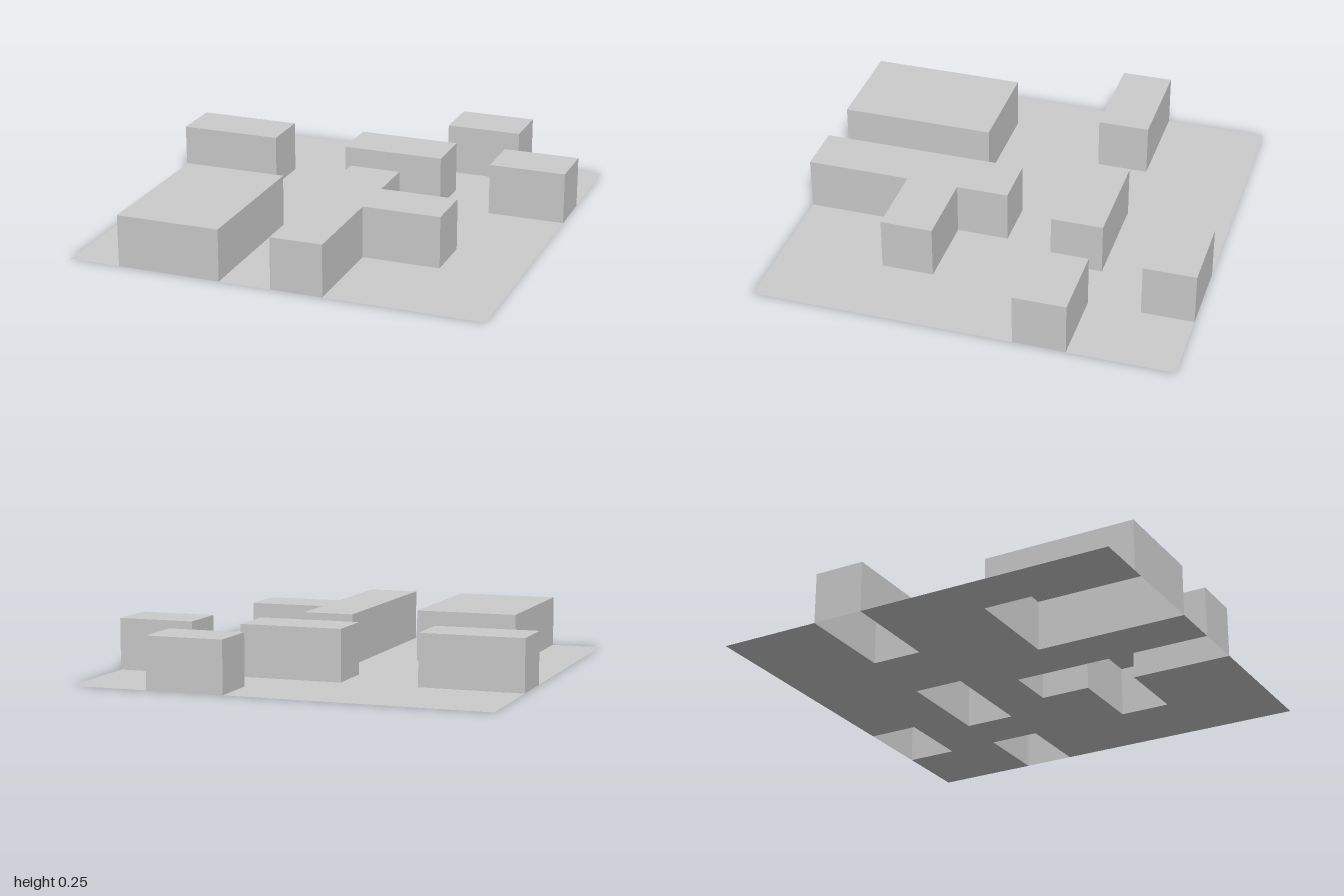
import * as THREE from 'three';
import { mergeGeometries } from 'three/addons/utils/BufferGeometryUtils.js';

const HEIGHT = 0.25;

// Footprints as [x, z], clockwise from above. Those on the border start and end on it.
const edgeBlocks = {
  wideFrontBlock: [[-0.75, 1], [-0.75, 0.25], [-0.25, 0.25], [-0.25, 1]],
  branchedFrontBlock: [[0, 1], [0, 0], [0.25, 0], [0.25, 0.25], [0.625, 0.25], [0.625, 0.5], [0.25, 0.5], [0.25, 1]],
  leftEdgeBlock: [[1, -0.25], [0.625, -0.25], [0.625, -0.5], [1, -0.5]],
  backEdgeBlock: [[0.625, -1], [0.625, -0.75], [0.25, -0.75], [0.25, -1]],
  rightEdgeBlock: [[-1, -0.5], [-0.5, -0.5], [-0.5, -0.25], [-1, -0.25]],
};
const middleBlock = [[-0.125, -0.25], [-0.125, -0.5], [0.375, -0.5], [0.375, -0.25]];

const toPoints = (plan) => plan.map(([x, z]) => new THREE.Vector2(x, -z));

// Flat horizontal sheet with optional holes
function sheet(plan, y, holes = []) {
  const shape = new THREE.Shape(toPoints(plan));
  shape.holes = holes.map((hole) => new THREE.Path(toPoints(hole)));
  return new THREE.ShapeGeometry(shape).rotateX(-Math.PI / 2).translate(0, y, 0);
}

// Hollow block, open underneath: a roof and one wall per footprint edge
function blockGeometry(plan) {
  const pieces = [sheet(plan, HEIGHT)];
  plan.forEach(([x, z], i) => {
    const [nx, nz] = plan[(i + 1) % plan.length];
    const dx = nx - x, dz = nz - z;
    pieces.push(new THREE.PlaneGeometry(Math.hypot(dx, dz), HEIGHT)
      .rotateY(Math.atan2(dz, -dx))
      .translate((x + nx) / 2, HEIGHT / 2, (z + nz) / 2));
  });
  return mergeGeometries(pieces);
}

export function createModel() {
  const group = new THREE.Group();
  const material = new THREE.MeshStandardMaterial({ color: 0xcccccc, side: THREE.DoubleSide });
  const add = (name, geometry) => {
    const mesh = new THREE.Mesh(geometry, material);
    mesh.name = name;
    group.add(mesh);
  };

  // Ground, cut away beneath every block
  const b = edgeBlocks;
  const outline = [
    [-1, 1], ...b.wideFrontBlock, ...b.branchedFrontBlock,
    [1, 1], ...b.leftEdgeBlock,
    [1, -1], ...b.backEdgeBlock,
    [-1, -1], ...b.rightEdgeBlock,
  ];
  add('ground', sheet(outline, 0, [middleBlock]));

  // Raised blocks
  for (const [name, plan] of Object.entries({ ...edgeBlocks, middleBlock })) {
    add(name, blockGeometry(plan));
  }
  return group;
}
